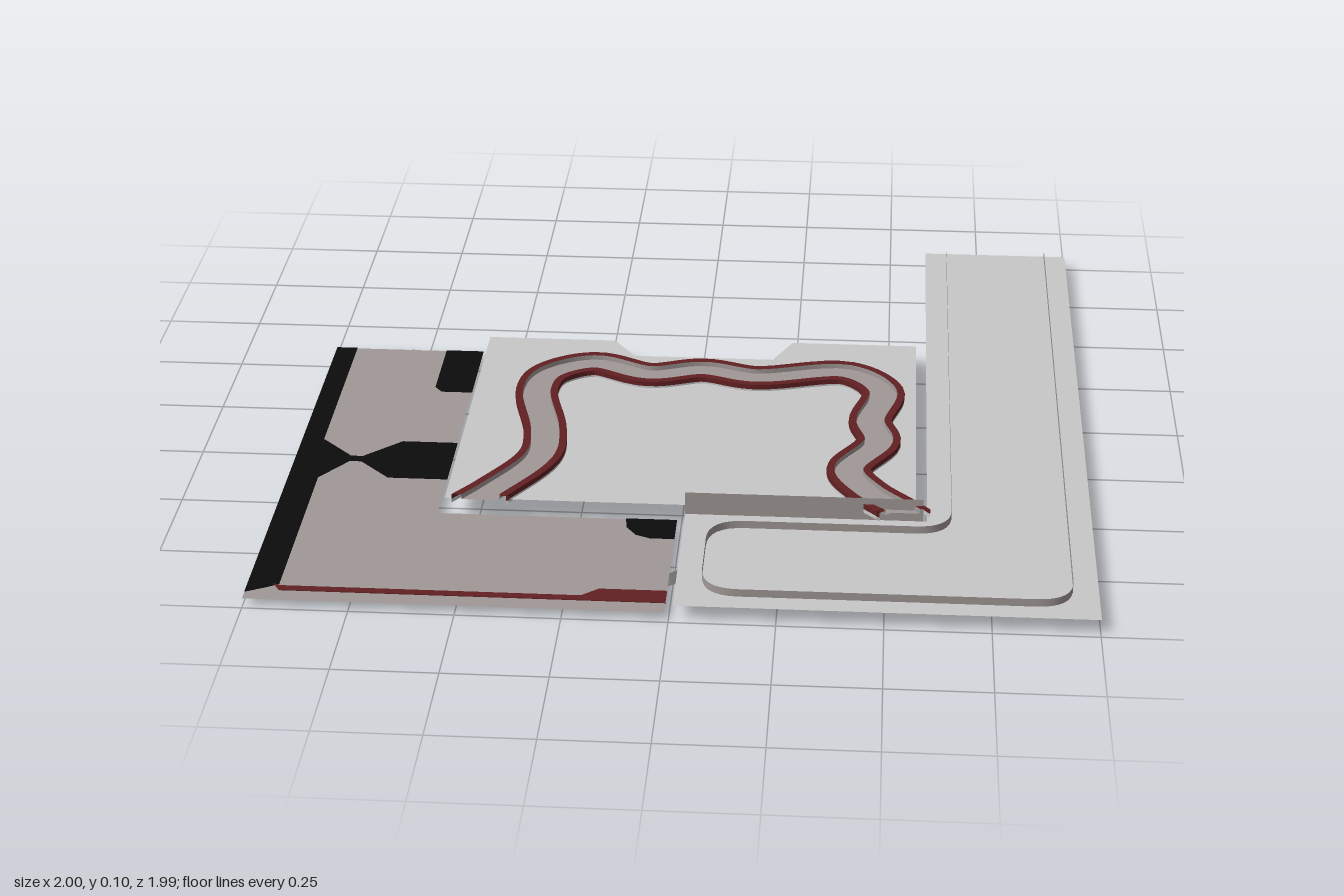
import * as THREE from 'three';

const mat = (name, color) => {
  const m = new THREE.MeshStandardMaterial({ color, side: THREE.DoubleSide });
  m.name = name;
  return m;
};

export function createModel() {
  const root = new THREE.Group();
  const light = mat('light grey', 0xc8c8c8);
  const stone = mat('warm grey', 0xa09896);
  const black = mat('black', 0x0c0c0c);
  const red = mat('dark red', 0x622022);

  const add = (name, geo, material) => {
    const mesh = new THREE.Mesh(geo, material);
    mesh.name = name;
    root.add(mesh);
    return mesh;
  };
  const shapeOf = (pts) => new THREE.Shape(pts.map(([x, z]) => new THREE.Vector2(x, z)));

  // Flat sheet from an (x, z) outline
  const sheet = (name, pts, y, material) =>
    add(name, new THREE.ShapeGeometry(shapeOf(pts)).rotateX(Math.PI / 2).translate(0, y, 0), material);

  // Thin painted plate that shows on both faces of a sheet
  const plate = (name, pts, y, material) =>
    add(name, new THREE.ExtrudeGeometry(shapeOf(pts), { depth: 0.004, bevelEnabled: false })
      .rotateX(Math.PI / 2).translate(0, y + 0.002, 0), material);

  // Strip joining two (x, z) lines at their own heights
  const strip = (name, a, ya, b, yb, material) => {
    const pos = [], idx = [];
    a.forEach(([x, z], i) => {
      pos.push(x, ya, z, b[i][0], yb, b[i][1]);
      if (i) {
        const k = 2 * i;
        idx.push(k - 2, k, k - 1, k - 1, k, k + 1);
      }
    });
    const g = new THREE.BufferGeometry();
    g.setAttribute('position', new THREE.Float32BufferAttribute(pos, 3));
    g.setIndex(idx);
    g.computeVertexNormals();
    return add(name, g, material);
  };
  const wall = (name, line, y0, y1, material) => strip(name, line, y0, line, y1, material);

  // Smooth centre line with sideways offsets; ends can be cut square to z
  const offsetPath = (pts, n, squareEnds) => {
    const curve = new THREE.CatmullRomCurve3(pts.map(([x, z]) => new THREE.Vector3(x, 0, z)));
    return (d) => Array.from({ length: n + 1 }, (_, i) => {
      const p = curve.getPoint(i / n), t = curve.getTangent(i / n);
      let nx = t.z, nz = -t.x;
      if (squareEnds && (i === 0 || i === n)) {
        nx = Math.sign(nx) * 1.3;
        nz = 0;
      }
      return [p.x + nx * d, p.z + nz * d];
    });
  };

  // Left corner ground with painted areas
  const yl = 0.02;
  sheet('leftGround', [[-1, -0.325], [-0.6, -0.325], [-0.6, 0.56], [-0.01, 0.56], [-0.01, 0.99], [-1, 0.99]], yl, stone);
  plate('blackEdgeAndCrossing', [[-1, -0.325], [-0.945, -0.325], [-0.945, 0.2], [-0.86, 0.285], [-0.83, 0.285],
    [-0.74, 0.2], [-0.6, 0.2], [-0.6, 0.39], [-0.75, 0.39], [-0.83, 0.31], [-0.86, 0.31], [-0.925, 0.4],
    [-0.925, 0.92], [-0.95, 0.935], [-1, 0.96]], yl, black);
  plate('blackBackPatch', [[-0.7, -0.325], [-0.6, -0.325], [-0.6, -0.085], [-0.68, -0.085], [-0.7, -0.11]], yl, black);
  plate('blackFrontPatch', [[-0.135, 0.56], [-0.01, 0.56], [-0.01, 0.65], [-0.07, 0.65], [-0.105, 0.635], [-0.13, 0.6]], yl, black);
  plate('redLine', [[-0.94, 0.92], [-0.92, 0.928], [-0.21, 0.928], [-0.17, 0.895], [-0.01, 0.895],
    [-0.01, 0.948], [-0.92, 0.948]], yl, red);

  // Winding channel walls hanging under the left ground
  const river = offsetPath([[-0.01, 0.78], [-0.12, 0.83], [-0.25, 0.81], [-0.42, 0.69], [-0.58, 0.76], [-0.75, 0.82],
    [-0.82, 0.65], [-0.71, 0.48], [-0.7, 0.33], [-0.76, 0.19], [-0.69, 0], [-0.72, -0.17], [-0.85, -0.32]], 90, true);
  for (const d of [-0.05, -0.028, 0.028, 0.05]) wall('channelWall', river(d), 0, yl, light);

  // Right corner ground
  sheet('rightGround', [[0.6, -1], [1, -1], [1, 0.99], [0.01, 0.99], [0.01, 0.56], [0.6, 0.56]], 0.04, light);

  // Rounded kerb following the right ground, open at the back
  const corners = [[0.94, -1], [0.94, 0.94], [0.07, 0.94], [0.07, 0.62], [0.66, 0.62], [0.66, -1]];
  const kerb = [corners[0]];
  for (let i = 1; i < corners.length - 1; i++) {
    const c = new THREE.Vector2(...corners[i]);
    const near = (q) => new THREE.Vector2(...q).sub(c).setLength(0.09).add(c);
    const bend = new THREE.QuadraticBezierCurve(near(corners[i - 1]), c, near(corners[i + 1]));
    bend.getPoints(8).forEach((p) => kerb.push([p.x, p.y]));
  }
  kerb.push(corners[5]);
  wall('kerb', kerb, 0.03, 0.06, stone);
  wall('frontBarrier', [[0.01, 0.56], [0.59, 0.56]], 0.03, 0.1, stone);

  // Winding track over the middle ground
  const track = offsetPath([[-0.49, 0.575], [-0.37, 0.36], [-0.37, 0.22], [-0.415, 0], [-0.39, -0.1], [-0.28, -0.165],
    [-0.13, -0.11], [0.01, -0.145], [0.15, -0.11], [0.39, -0.152], [0.485, -0.05], [0.455, 0.12], [0.478, 0.23],
    [0.405, 0.38], [0.45, 0.48], [0.535, 0.575]], 120, true);
  strip('trackFloor', track(-0.036), 0.07, track(0.036), 0.07, stone);
  for (const s of [-1, 1]) {
    const outer = track(0.055 * s), inner = track(0.036 * s);
    strip('redBorder', outer, 0.083, inner, 0.083, red);
    wall('redOuterFace', outer, 0.07, 0.083, red);
    wall('trackInnerFace', inner, 0.07, 0.083, stone);
    wall('trackSkirt', outer, 0.06, 0.07, light);
  }

  // Middle ground, split by the track
  const clip = (line) => line.map(([x, z]) => [Math.min(x, 0.57), Math.min(z, 0.56)]);
  const sides = [track(-0.055), track(0.055)].sort((a, b) => a[0][0] - b[0][0]);
  sheet('middleGroundOuter', [...clip(sides[0]), [0.572, 0.56], [0.572, -0.345], [0.24, -0.345], [0.19, -0.24],
    [-0.18, -0.24], [-0.24, -0.328], [-0.58, -0.328], [-0.58, 0.56]], 0.065, light);
  sheet('middleGroundInner', clip(sides[1]), 0.065, light);

  return root;
}
